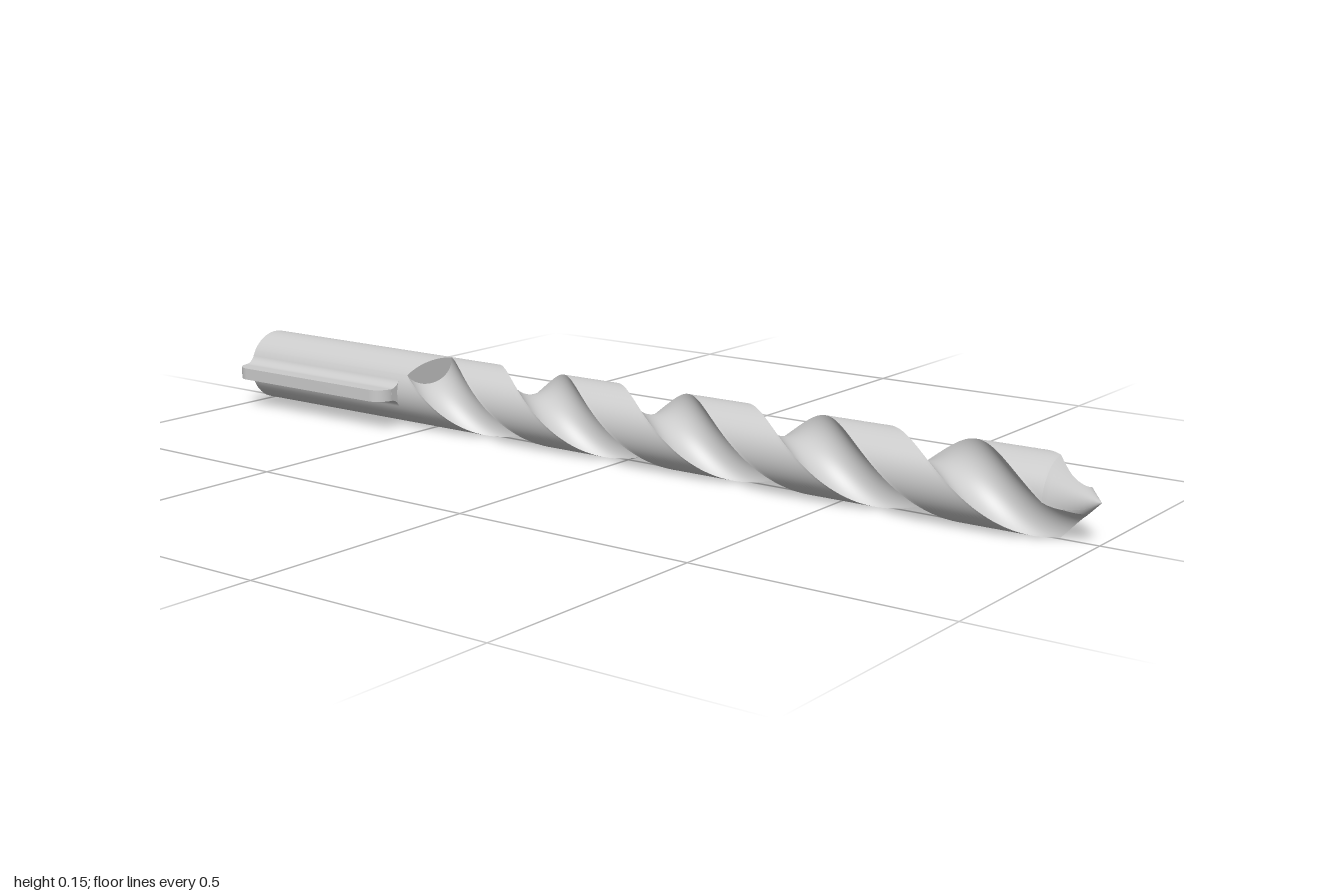
import * as THREE from 'three';
import { toCreasedNormals } from 'three/addons/utils/BufferGeometryUtils.js';

const R = 0.075;                        // drill radius, also the height of its axis
const OMEGA = (2 * Math.PI) / 0.62;     // twist per unit of length
const BETA = Math.atan(OMEGA * R);      // helix angle
const FLUTE = 0.0515;                   // radius of the round cutter that makes a flute
const FLUTE_END = -0.505;
const cosB = Math.cos(BETA), sinB = Math.sin(BETA);
const twist = z => THREE.MathUtils.degToRad(46) + OMEGA * (z - 0.925);

// Creasing works on a coarse grid, so enlarge for that step
function crease(geometry, angle = 0.55) {
  geometry.scale(100, 100, 100);
  const g = toCreasedNormals(geometry, angle);
  g.scale(0.01, 0.01, 0.01);
  return g;
}

// Untwisted section: two round flutes cut square to the helix, with lands between.
// a = angle, r = radius, u = offset across the flute, rim = angle where the end wall meets the shank
function makeSection(fluteSteps, landSteps) {
  const k = 1 - cosB * cosB;
  const s = (R - Math.sqrt(R * R - FLUTE * FLUTE * cosB * cosB * k)) / (FLUTE * k);
  const phiEnd = Math.asin(s);
  const half = [];
  for (let i = 0; i <= fluteSteps; i++) {
    const phi = THREE.MathUtils.lerp(Math.PI - phiEnd, phiEnd, i / fluteSteps);
    const u = FLUTE * Math.cos(phi), x = R - FLUTE * Math.sin(phi), w = u * cosB;
    half.push({ a: Math.atan2(w, x) + OMEGA * u * sinB, r: Math.hypot(x, w), u, rim: Math.asin(w / R) });
  }
  const edge = half[fluteSteps];
  for (let i = 1; i < landSteps; i++) {
    const t = i / landSteps;
    const a = THREE.MathUtils.lerp(edge.a, Math.PI - edge.a, t);
    const u = edge.u * (1 - 2 * t);
    half.push({ a, r: R, u, rim: a - OMEGA * u * sinB });
  }
  return [...half, ...half.map(p => ({ ...p, a: p.a + Math.PI, rim: p.rim + Math.PI }))];
}

function drillGeometry() {
  const section = makeSection(26, 16);
  const place = (r, angle, z) => new THREE.Vector3(r * Math.cos(angle), R + r * Math.sin(angle), z);
  const rows = [];
  const TIP = 10, LENGTH = 170;
  // conical point
  for (let i = 0; i <= TIP; i++) {
    rows.push(section.map(p => {
      const r = p.r * i / TIP;
      return place(r, p.a + twist(1 - r), 1 - r);
    }));
  }
  // twisted flutes, ending square to the helix
  for (let i = 1; i <= LENGTH; i++) {
    rows.push(section.map(p => {
      const z = THREE.MathUtils.lerp(1 - p.r, FLUTE_END - p.u * sinB, i / LENGTH);
      return place(p.r, p.a + twist(z), z);
    }));
  }
  // flute end walls, round shank and back disc
  const shankAngle = p => p.rim + twist(FLUTE_END);
  rows.push(section.map(p => place(R, shankAngle(p), FLUTE_END - p.u * sinB)));
  rows.push(section.map(p => place(R, shankAngle(p), -1)));
  rows.push(section.map(() => place(0, 0, -1)));

  const positions = [];
  const tri = (a, b, c) => {
    const area = b.clone().sub(a).cross(c.clone().sub(a)).length();
    if (area > 1e-10) for (const v of [a, b, c]) positions.push(v.x, v.y, v.z);
  };
  const n = section.length;
  for (let i = 0; i < rows.length - 1; i++) {
    for (let j = 0; j < n; j++) {
      const k = (j + 1) % n;
      tri(rows[i][j], rows[i + 1][j], rows[i][k]);
      tri(rows[i][k], rows[i + 1][j], rows[i + 1][k]);
    }
  }
  const g = new THREE.BufferGeometry();
  g.setAttribute('position', new THREE.Float32BufferAttribute(positions, 3));
  return crease(g);
}

const WING = { half: 0.0125, outer: 0.125, front: -0.555, corner: 0.036, fillet: 0.025 };

// Flat wing with rounded outer corners, drawn in plan and laid flat
function wingGeometry() {
  const { half, outer, front, corner: c } = WING;
  const s = new THREE.Shape();
  s.moveTo(0.05, front);
  s.lineTo(0.05, -1);
  s.lineTo(outer - c, -1);
  s.absarc(outer - c, -1 + c, c, -Math.PI / 2, 0, false);
  s.absarc(outer - c, front - c, c, 0, Math.PI / 2, false);
  s.closePath();
  const g = new THREE.ExtrudeGeometry(s, { depth: 2 * half, bevelEnabled: false, curveSegments: 12 });
  g.rotateX(Math.PI / 2);
  g.translate(0, R + half, 0);
  return crease(g);
}

// Concave root blending the wing into the shank
function rootGeometry() {
  const { half: h, front, fillet: f } = WING;
  const cy = h + f, cx = Math.sqrt((R + f) ** 2 - cy * cy);
  const t = Math.atan2(cy, cx);
  const s = new THREE.Shape();
  s.moveTo(R * Math.cos(t), -R * Math.sin(t));
  s.absarc(cx, -cy, f, Math.PI - t, Math.PI / 2, true);
  s.lineTo(cx, h);
  s.absarc(cx, cy, f, -Math.PI / 2, Math.PI + t - 2 * Math.PI, true);
  s.closePath();
  const g = new THREE.ExtrudeGeometry(s, { depth: front + 1, bevelEnabled: false, curveSegments: 12 });
  g.translate(0, R, -1);
  return crease(g);
}

export function createModel() {
  const model = new THREE.Group();
  model.name = 'drillBit';
  const material = new THREE.MeshStandardMaterial({ color: 0xcccccc });
  const add = (parent, name, geometry) => {
    const mesh = new THREE.Mesh(geometry, material);
    mesh.name = name;
    parent.add(mesh);
  };

  add(model, 'twistedBody', drillGeometry());

  // a half turn about the drill axis makes the second wing
  const plate = wingGeometry(), root = rootGeometry();
  for (const [name, turn] of [['leftWing', 0], ['rightWing', Math.PI]]) {
    const wing = new THREE.Group();
    wing.name = name;
    add(wing, 'wingPlate', plate);
    add(wing, 'wingRoot', root);
    wing.rotation.z = turn;
    if (turn) wing.position.y = 2 * R;
    model.add(wing);
  }
  return model;
}
